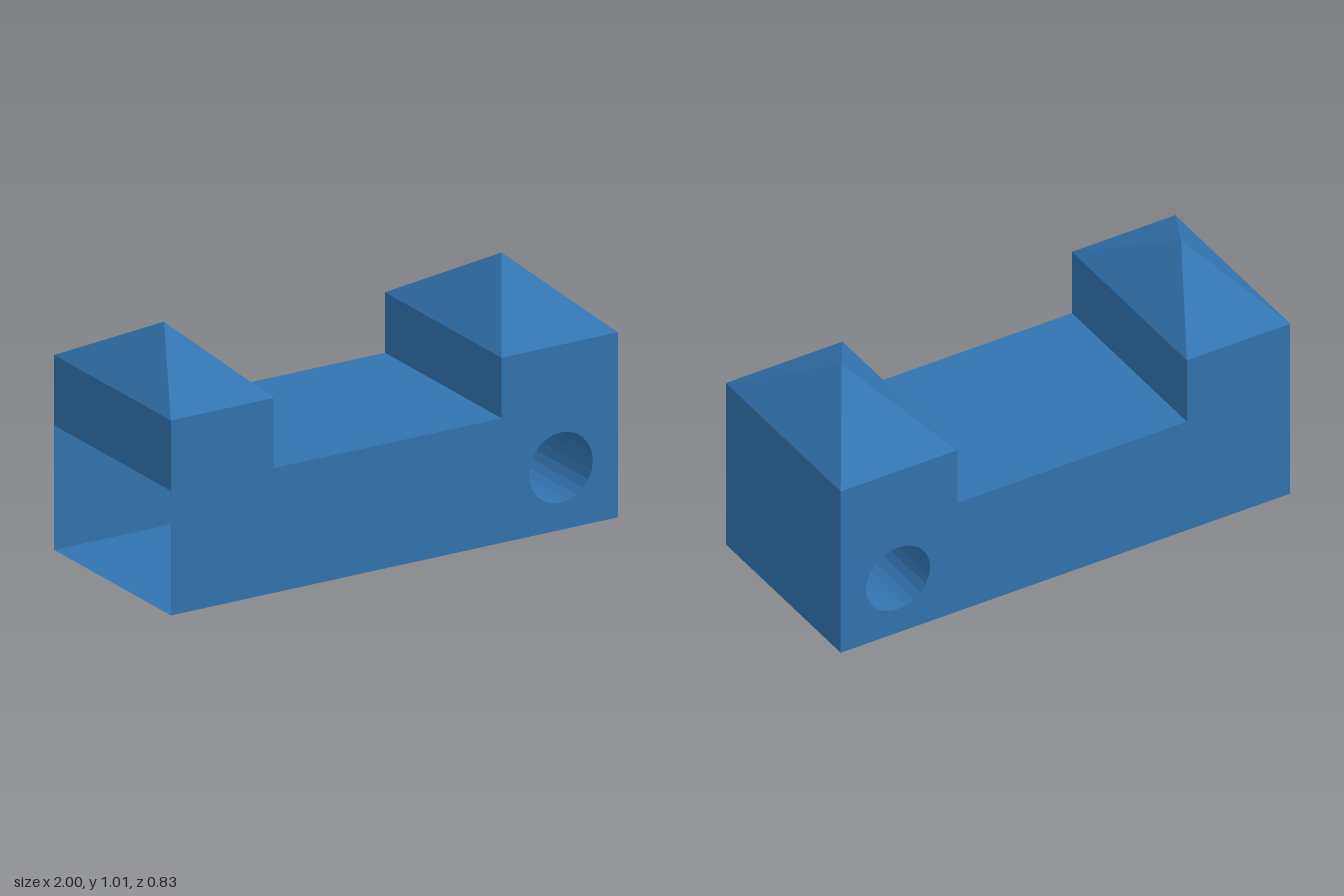
import * as THREE from 'three';

const DEPTH = 0.835;
const HALF = DEPTH / 2;
const DECK = 0.505;
const HOLE = { x: 0.745, y: 0.252, r: 0.143, sides: 24 };
const TOWERS = [
  { name: 'leftTower', x0: -1, x1: -0.54, eave: 0.79, peak: 1.012 },
  { name: 'rightTower', x0: 0.48, x1: 1, eave: 0.75, peak: 0.992 },
];

export function createModel() {
  const group = new THREE.Group();
  // The building is a thin shell, open at one end
  const blue = new THREE.MeshStandardMaterial({ color: 0x3274b0, side: THREE.DoubleSide });
  blue.name = 'blue';

  const add = (name, geometry) => {
    const mesh = new THREE.Mesh(geometry, blue);
    mesh.name = name;
    group.add(mesh);
    return mesh;
  };
  const faceted = (geometry) => {
    const flat = geometry.toNonIndexed();
    flat.computeVertexNormals();
    return flat;
  };
  // Vertical end panel at x, facing +x (dir 1) or -x (dir -1)
  const endPanel = (name, x, y0, y1, dir) => add(name,
    new THREE.PlaneGeometry(DEPTH, y1 - y0).rotateY(dir * Math.PI / 2).translate(x, (y0 + y1) / 2, 0));
  // Horizontal panel, facing up (dir 1) or down (dir -1)
  const flatPanel = (name, x0, x1, y, dir) => add(name,
    new THREE.PlaneGeometry(x1 - x0, DEPTH).rotateX(-dir * Math.PI / 2).translate((x0 + x1) / 2, y, 0));

  const [left, right] = TOWERS;

  // Front and back walls share one outline with a round hole
  const outline = new THREE.Shape([
    [-1, 0], [1, 0], [1, right.eave], [right.x0, right.eave], [right.x0, DECK],
    [left.x1, DECK], [left.x1, left.eave], [-1, left.eave],
  ].map(([x, y]) => new THREE.Vector2(x, y)));
  const circle = [];
  for (let i = 0; i < HOLE.sides; i++) {
    const a = -i / HOLE.sides * Math.PI * 2;
    circle.push(new THREE.Vector2(HOLE.x + HOLE.r * Math.sin(a), HOLE.y + HOLE.r * Math.cos(a)));
  }
  outline.holes.push(new THREE.Path(circle));
  add('frontWall', new THREE.ShapeGeometry(outline).translate(0, 0, HALF));
  const back = new THREE.ShapeGeometry(outline);
  const index = back.index.array;
  for (let i = 0; i < index.length; i += 3) [index[i], index[i + 1]] = [index[i + 1], index[i]];
  back.computeVertexNormals();
  add('backWall', back.translate(0, 0, -HALF));

  // Round tunnel through the building
  add('tunnel', faceted(new THREE.CylinderGeometry(HOLE.r, HOLE.r, DEPTH, HOLE.sides, 1, true)
    .rotateX(Math.PI / 2).translate(HOLE.x, HOLE.y, 0)));

  // Floor, deck and end walls; the lower end at -x stays open
  flatPanel('floor', -1, 1, 0, -1);
  flatPanel('deck', left.x1, right.x0, DECK, 1);
  endPanel('rightEndWall', 1, 0, right.eave, 1);
  endPanel('rightInnerWall', right.x0, DECK, right.eave, -1);
  endPanel('leftInnerWall', left.x1, DECK, left.eave, 1);
  endPanel('leftUpperEndWall', -1, DECK, left.eave, -1);

  // Pyramid roofs
  for (const { name, x0, x1, eave, peak } of TOWERS) {
    const roof = new THREE.ConeGeometry(Math.SQRT1_2, 1, 4, 1, true)
      .rotateY(Math.PI / 4)
      .scale(x1 - x0, peak - eave, DEPTH)
      .translate((x0 + x1) / 2, (eave + peak) / 2, 0);
    add(name + 'Roof', faceted(roof));
  }
  return group;
}
